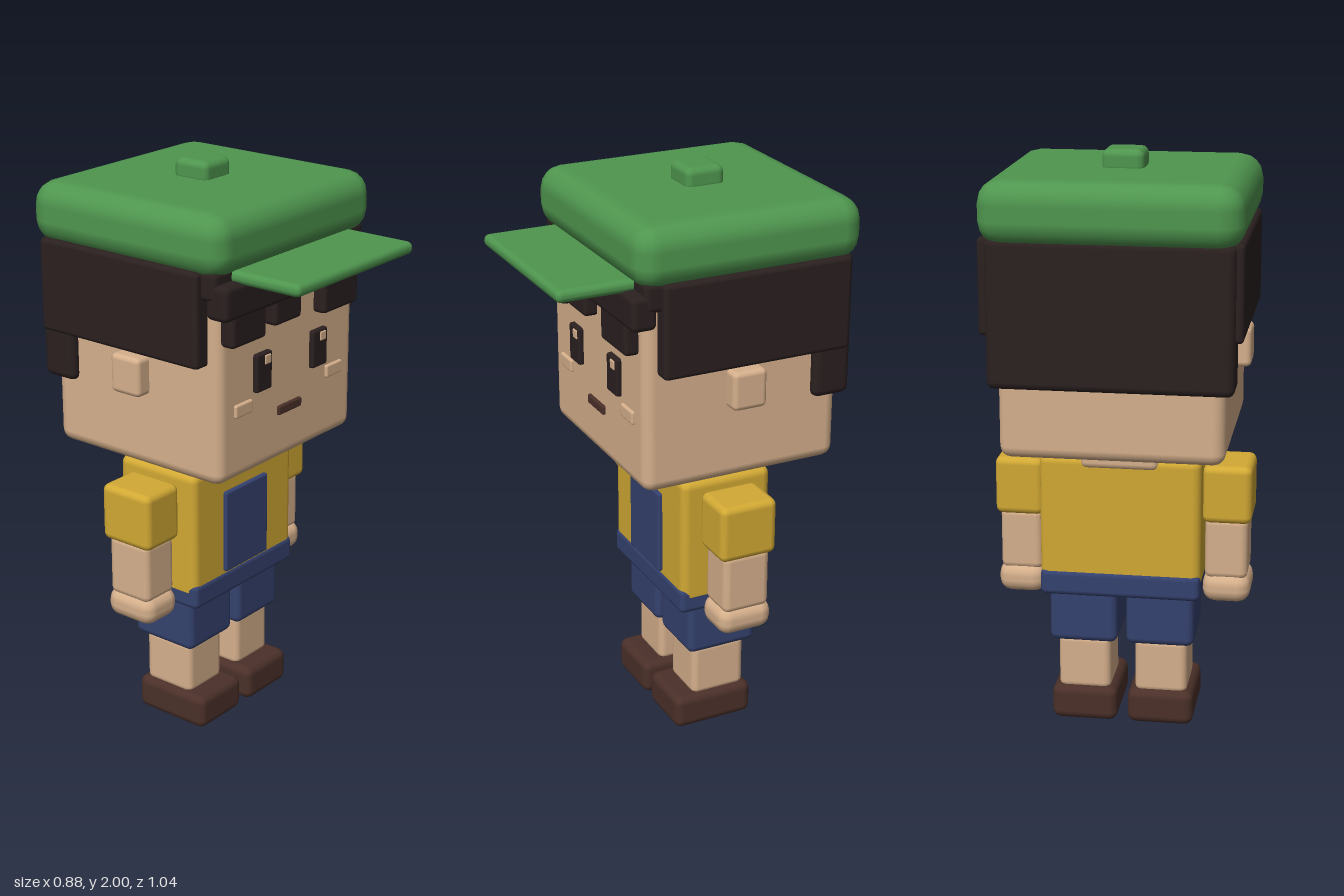
import * as THREE from 'three';
import { RoundedBoxGeometry } from 'three/addons/geometries/RoundedBoxGeometry.js';

const mat = (name, color) => {
  const m = new THREE.MeshStandardMaterial({ color });
  m.name = name;
  return m;
};

export function createModel() {
  const model = new THREE.Group();
  model.name = 'boyWithCap';

  const skin = mat('skin', 0xd6b08c);
  const hair = mat('darkHair', 0x2b2020);
  const green = mat('capGreen', 0x4f964f);
  const yellow = mat('shirtYellow', 0xd2a934);
  const navy = mat('shortsNavy', 0x35426f);
  const brown = mat('shoeBrown', 0x4b3029);

  // Rounded block given by its extents: x, y and z ranges
  function block(name, material, [x0, x1], [y0, y1], [z0, z1], radius = 0.02) {
    const w = x1 - x0, h = y1 - y0, d = z1 - z0;
    const r = Math.min(radius, Math.min(w, h, d) * 0.48);
    const mesh = new THREE.Mesh(new RoundedBoxGeometry(w, h, d, 2, r), material);
    mesh.position.set((x0 + x1) / 2, (y0 + y1) / 2, (z0 + z1) / 2);
    mesh.name = name;
    model.add(mesh);
  }
  // The same block on both sides of the body
  function pair(name, material, [x0, x1], y, z, radius) {
    block('left' + name, material, [x0, x1], y, z, radius);
    block('right' + name, material, [-x1, -x0], y, z, radius);
  }

  // Cap
  block('cap', green, [-0.425, 0.425], [1.73, 1.94], [-0.52, 0.29], 0.08);
  block('capBrim', green, [-0.318, 0.318], [1.71, 1.753], [0.2, 0.52], 0.02);
  block('capButton', green, [-0.07, 0.07], [1.92, 2], [-0.187, -0.047], 0.025);

  // Head and ears
  block('head', skin, [-0.37, 0.37], [1.025, 1.74], [-0.46, 0.25], 0.04);
  pair('Ear', skin, [0.34, 0.425], [1.285, 1.42], [-0.165, -0.042], 0.018);

  // Hair
  block('hairTop', hair, [-0.4, 0.4], [1.66, 1.76], [-0.47, 0.26]);
  pair('SideHair', hair, [0.345, 0.425], [1.437, 1.755], [-0.468, 0.205], 0.015);
  block('backHair', hair, [-0.4, 0.4], [1.265, 1.755], [-0.49, -0.355], 0.025);
  block('fringeBand', hair, [-0.397, 0.397], [1.603, 1.72], [0.215, 0.303]);
  block('fringeRight', hair, [-0.355, -0.18], [1.507, 1.65], [0.24, 0.297], 0.015);
  block('fringeMiddle', hair, [-0.135, 0.008], [1.527, 1.65], [0.24, 0.297], 0.015);
  block('fringeLeft', hair, [0.132, 0.325], [1.5, 1.65], [0.24, 0.297], 0.015);

  // Face
  pair('Eye', hair, [0.112, 0.193], [1.308, 1.44], [0.235, 0.268], 0.008);
  for (const x of [-0.139, 0.164])
    block('eyeHighlight', skin, [x - 0.016, x + 0.016], [1.399, 1.431], [0.263, 0.272], 0.004);
  pair('Cheek', skin, [0.203, 0.293], [1.248, 1.293], [0.235, 0.261], 0.007);
  block('mouth', brown, [-0.064, 0.062], [1.191, 1.224], [0.235, 0.261], 0.007);

  // Torso
  block('neckline', skin, [-0.132, 0.132], [0.945, 0.998], [-0.28, 0.072], 0.022);
  block('shirt', yellow, [-0.275, 0.275], [0.52, 0.985], [-0.27, 0.065], 0.03);
  block('chestPanel', navy, [-0.118, 0.114], [0.58, 0.88], [0.04, 0.08], 0.008);
  block('waistband', navy, [-0.274, 0.274], [0.485, 0.577], [-0.276, 0.07], 0.02);

  // Arms
  pair('Sleeve', yellow, [0.272, 0.44], [0.745, 0.948], [-0.207, 0.002], 0.025);
  pair('Forearm', skin, [0.28, 0.427], [0.54, 0.76], [-0.19, -0.018], 0.025);
  pair('Hand', skin, [0.272, 0.437], [0.455, 0.56], [-0.203, -0.003], 0.045);

  // Legs
  pair('ShortsLeg', navy, [0.015, 0.25], [0.3, 0.53], [-0.235, 0.025], 0.025);
  pair('Shin', skin, [0.042, 0.225], [0.11, 0.31], [-0.205, -0.003], 0.025);
  pair('Shoe', brown, [0.018, 0.248], [0, 0.125], [-0.227, 0.072], 0.03);

  return model;
}
